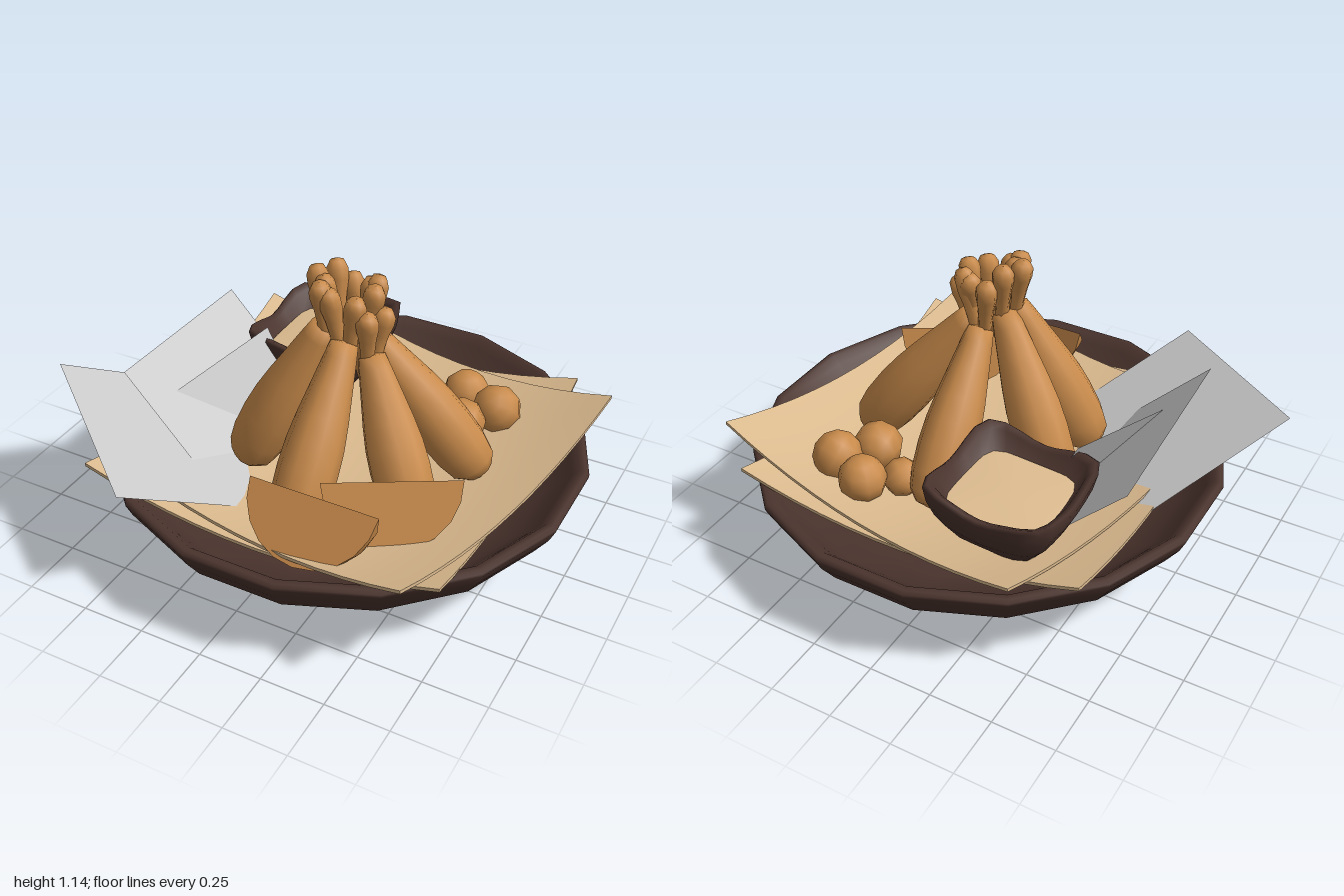
import * as THREE from 'three';

const paint = (color, side = THREE.FrontSide) => new THREE.MeshStandardMaterial({ color, side });
const V = (x, y, z) => new THREE.Vector3(x, y, z);
const UP = V(0, 1, 0);

function add(parent, name, geometry, material) {
  const mesh = new THREE.Mesh(geometry, material);
  mesh.name = name;
  parent.add(mesh);
  return mesh;
}

function lathe(points, sides) {
  return new THREE.LatheGeometry(points.map(([r, y]) => new THREE.Vector2(r, y)), sides);
}

// Square sheet pressed into a shallow dish shape
function paperGeometry(size) {
  const g = new THREE.BoxGeometry(size, 0.014, size, 12, 1, 12);
  const p = g.attributes.position;
  for (let i = 0; i < p.count; i++) {
    const r2 = p.getX(i) ** 2 + p.getZ(i) ** 2;
    p.setY(i, p.getY(i) + 0.225 * r2);
  }
  g.computeVertexNormals();
  return g;
}

// Flat rectangle from one corner and two edge vectors
function leafGeometry(corner, u, v) {
  const g = new THREE.BufferGeometry();
  const pts = [corner, corner.clone().add(u), corner.clone().add(u).add(v), corner.clone().add(v)];
  g.setFromPoints(pts);
  g.setIndex([0, 1, 2, 0, 2, 3]);
  g.computeVertexNormals();
  return g;
}

// Rounded-square bowl: rings of [half width, height, corner lift]
function squareBowlGeometry(rings, n = 32) {
  const pos = [], idx = [];
  rings.forEach(([h, y, lift]) => {
    for (let i = 0; i < n; i++) {
      const a = (i / n) * Math.PI * 2, c = Math.cos(a), s = Math.sin(a);
      const k = h / Math.pow(c ** 6 + s ** 6, 1 / 6);
      pos.push(k * c, y + lift * Math.sin(2 * a) ** 2, k * s);
    }
  });
  for (let r = 0; r < rings.length - 1; r++)
    for (let i = 0; i < n; i++) {
      const a = r * n + i, b = r * n + (i + 1) % n;
      idx.push(a, a + n, b, b, a + n, b + n);
    }
  const g = new THREE.BufferGeometry();
  g.setAttribute('position', new THREE.Float32BufferAttribute(pos, 3));
  g.setIndex(idx);
  g.computeVertexNormals();
  return g;
}

// Wedge hanging below a straight top edge: a slice of a ball between two cut faces
function addWedge(parent, material, x, y, z, turn, lean) {
  const wedge = new THREE.Group();
  wedge.name = 'wedge';
  const R = 0.255, from = 0.9, to = 1.75, n = 10;
  const pts = [];
  for (let i = 0; i <= n; i++) {
    const t = (i / n) * Math.PI;
    pts.push(new THREE.Vector2(R * Math.sin(t), -R * Math.cos(t)));
  }
  const skin = new THREE.LatheGeometry(pts, 4, 0, to - from);
  skin.rotateZ(Math.PI / 2);
  skin.rotateX(to);
  add(wedge, 'wedgeSkin', skin, material);
  for (const a of [from, to]) {
    const face = new THREE.CircleGeometry(R, n, 0, Math.PI);
    face.rotateX(Math.PI / 2 + a);
    add(wedge, 'wedgeCutFace', face, material);
  }
  wedge.position.set(x, y, z);
  wedge.rotation.set(lean, turn, 0, 'YXZ');
  parent.add(wedge);
}

export function createModel() {
  const model = new THREE.Group();
  model.name = 'foodPlatter';
  const dark = paint(0x4a332d);
  const cream = paint(0xdcbb8f);
  const fried = paint(0xc98b4b);
  const friedThin = paint(0xc98b4b, THREE.DoubleSide);
  const grey = paint(0xcccccc, THREE.DoubleSide);

  // Sixteen-sided platter
  const plate = add(model, 'platter', lathe([
    [0, 0.045], [0.595, 0.045], [0.74, 0.115], [0.86, 0.21], [0.915, 0.29],
    [0.938, 0.34], [0.938, 0.352], [0.925, 0.362], [0.9, 0.36], [0.87, 0.33], [0.77, 0.23],
    [0.6, 0.15], [0, 0.13]], 16), dark);
  plate.position.set(0.075, 0, -0.008);
  plate.rotation.y = Math.PI / 16;

  // Two lining papers, tilted slightly apart
  const lower = add(model, 'lowerPaper', paperGeometry(1.425), cream);
  lower.position.set(0.055, 0.195, 0.015);
  lower.rotation.set(0, 0.014, -0.02);
  const upper = add(model, 'upperPaper', paperGeometry(1.427), cream);
  upper.position.set(0.125, 0.225, 0.018);
  upper.rotation.set(0, -0.176, 0.02);

  // Drumsticks leaning together: [base x, z, neck x, y, z, knuckle length]
  const meat = [[0, -0.02], [0.06, 0], [0.095, 0.06], [0.11, 0.17], [0.114, 0.32], [0.11, 0.46],
    [0.098, 0.6], [0.08, 0.76], [0.062, 0.92], [0.052, 1], [0, 1.02]];
  const bone = [[0.028, -0.15], [0.028, 0.2], [0.033, 0.45], [0.042, 0.68], [0.042, 0.84],
    [0.028, 0.96], [0, 1]];
  [[0.13, 0.57, 0.13, 0.87, 0.15, 0.23], [-0.24, 0.25, 0.04, 0.91, 0.13, 0.23],
    [-0.26, -0.08, 0.06, 0.9, 0.08, 0.24], [0.1, -0.42, 0.13, 0.84, 0.02, 0.26],
    [0.59, -0.09, 0.17, 0.88, 0.05, 0.22], [0.5, 0.31, 0.22, 0.82, 0.11, 0.21],
  ].forEach(([bx, bz, nx, ny, nz, knuckleLength]) => {
    const leg = new THREE.Group();
    leg.name = 'drumstick';
    const base = V(bx, 0.3, bz), neck = V(nx, ny, nz);
    const axis = neck.clone().sub(base), length = axis.length();
    const body = add(leg, 'drumstickMeat', lathe(meat.map(([r, t]) => [r, t * length]), 10), fried);
    body.position.copy(base);
    body.quaternion.setFromUnitVectors(UP, axis.normalize());
    // Two knuckles fanning out of the neck
    const out = V(nx - 0.12, 0, nz - 0.08).normalize();
    const across = V(-out.z, 0, out.x);
    for (const s of [-1, 1]) {
      const knuckle = add(leg, 'drumstickBone', lathe(bone.map(([r, t]) => [r, t * knuckleLength]), 7), fried);
      const dir = UP.clone().addScaledVector(out, 0.12).addScaledVector(across, 0.16 * s).normalize();
      knuckle.quaternion.setFromUnitVectors(UP, dir);
      knuckle.position.copy(neck).addScaledVector(across, 0.02 * s);
      knuckle.scale.y = s > 0 ? 1 : 0.92;
    }
    model.add(leg);
  });

  // Fried balls
  [[0.37, 0.36, -0.475, 0.097], [0.53, 0.37, -0.41, 0.1], [0.435, 0.36, -0.27, 0.1],
    [0.265, 0.33, -0.36, 0.078]].forEach(([x, y, z, r], i) => {
    const ball = add(model, 'friedBall', new THREE.SphereGeometry(r, 9, 6), fried);
    ball.position.set(x, y, z);
    ball.rotation.set(0.5 * i, i, 0.3 * i);
  });

  // Two wedges at the front
  addWedge(model, friedThin, 0.25, 0.53, 0.61, 0, 0);
  addWedge(model, friedThin, 0.455, 0.53, 0.405, 0.52, 0.2);

  // Dip bowl with sauce
  const bowl = new THREE.Group();
  bowl.name = 'dipBowl';
  add(bowl, 'dipBowlShell', squareBowlGeometry([
    [0.001, 0.31, 0], [0.11, 0.31, 0], [0.17, 0.34, 0], [0.225, 0.41, 0.02], [0.25, 0.47, 0.03],
    [0.262, 0.525, 0.045], [0.25, 0.535, 0.045], [0.225, 0.525, 0.035], [0.185, 0.46, 0.01], [0.001, 0.42, 0]]), dark);
  add(bowl, 'dipSauce', squareBowlGeometry([[0.198, 0.48, 0], [0.19, 0.488, 0], [0.001, 0.49, 0]]), cream);
  bowl.position.set(-0.217, 0.01, -0.412);
  bowl.rotation.z = 0.06;
  model.add(bowl);

  // Thin garnish leaves
  [[V(-1, 0.58, 0.4), V(0.625, -0.08, 0.505), V(0.47, -0.347, -0.64)],
    [V(-0.655, 0.67, 0.44), V(-0.025, -0.05, -0.805), V(0.6, -0.62, 0.02)],
    [V(-0.4, 0.605, -0.19), V(-0.135, -0.075, 0.475), V(0.2, -0.4, 0)],
  ].forEach(([c, u, v]) => add(model, 'garnishLeaf', leafGeometry(c, u, v), grey));

  return model;
}
